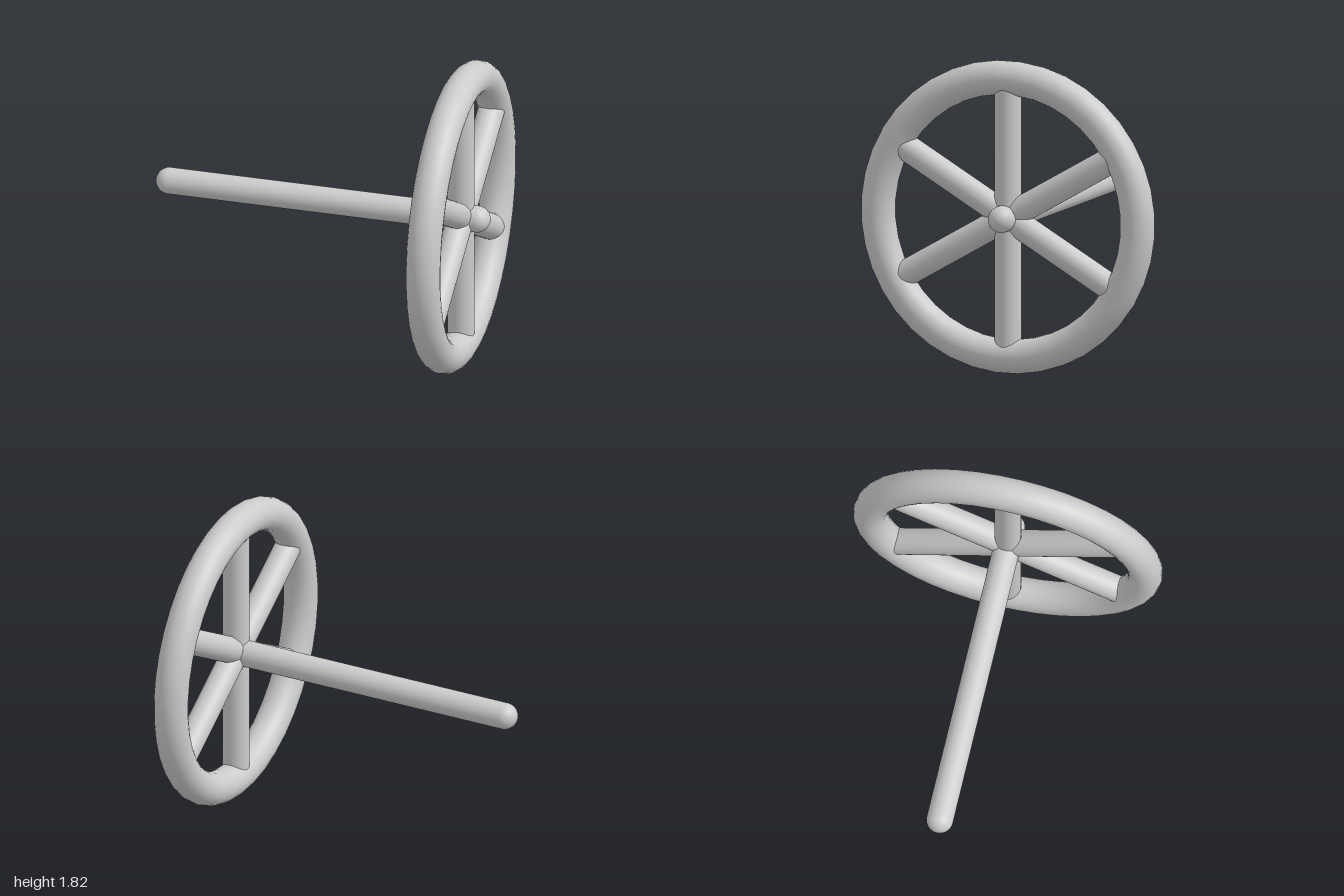
import * as THREE from 'three';

export function createModel() {
  const group = new THREE.Group();
  const material = new THREE.MeshStandardMaterial({ color: 0xcccccc });
  const barRadius = 0.078, rimRadius = 0.815, rimTube = 0.1;
  const wheelX = 0.825, axleY = 0.92;

  const add = (name, geometry, parent) => {
    const mesh = new THREE.Mesh(geometry, material);
    mesh.name = name;
    parent.add(mesh);
    return mesh;
  };

  // Round-ended axle along x
  const axle = add('axle', new THREE.CapsuleGeometry(barRadius, 2 - 2 * barRadius, 12, 32), group);
  axle.rotation.z = Math.PI / 2;
  axle.position.y = axleY;

  // Wheel standing in the yz plane near the left end of the axle
  const wheel = new THREE.Group();
  wheel.name = 'wheel';
  wheel.position.set(wheelX, axleY, 0);
  wheel.rotation.y = Math.PI / 2;
  group.add(wheel);

  const segments = 40;
  const rim = add('rim', new THREE.TorusGeometry(rimRadius, rimTube, 24, segments), wheel);
  rim.rotation.z = Math.PI / segments;

  // Three bars across the wheel make six spokes, ending inside the rim
  for (let i = 0; i < 3; i++) {
    const bar = add('spokePair', new THREE.CylinderGeometry(barRadius, barRadius, 2 * rimRadius, 32), wheel);
    bar.rotation.z = i * Math.PI / 3;
  }

  return group;
}
